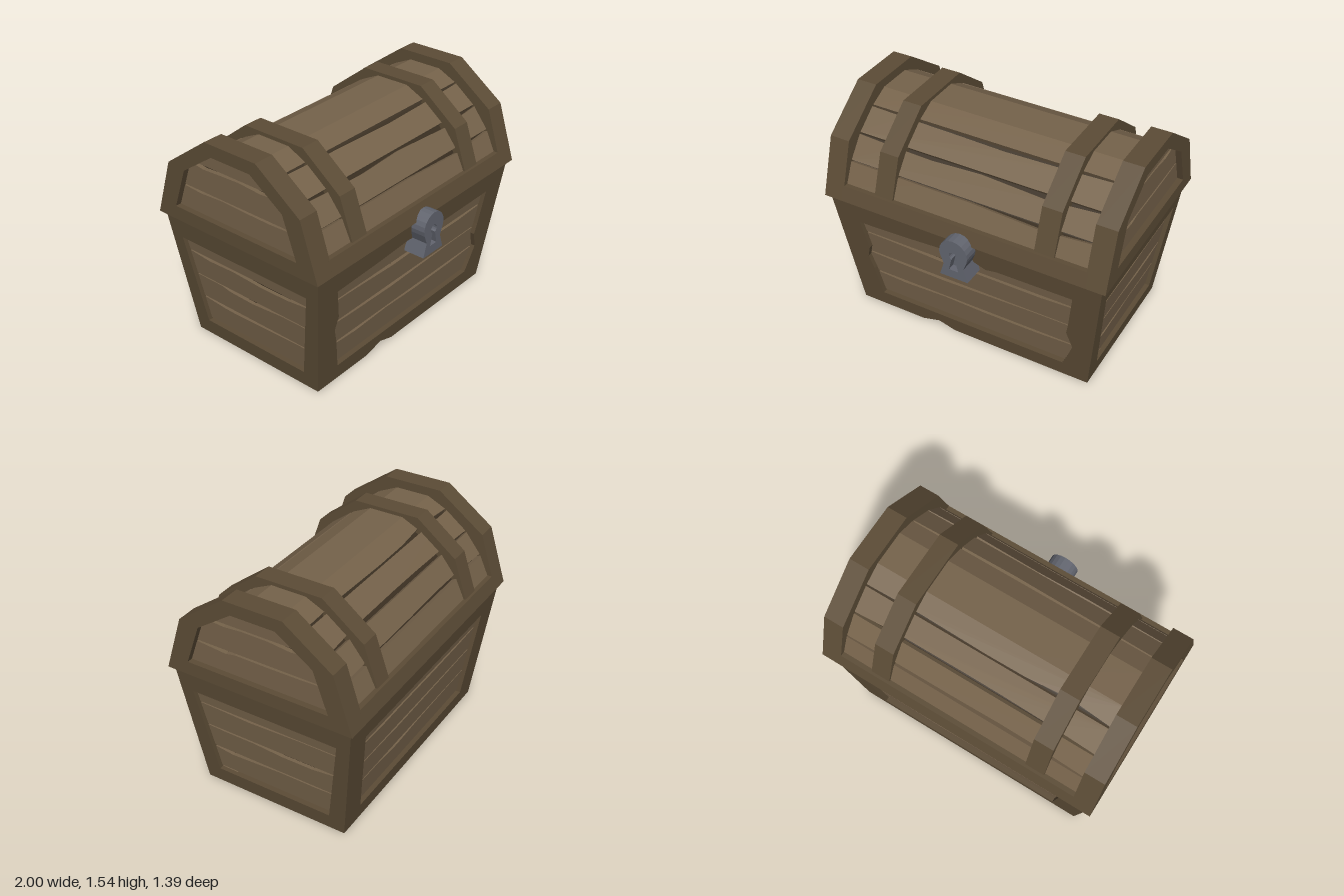
import * as THREE from 'three';

const mat = (color) => new THREE.MeshStandardMaterial({ color, flatShading: true });
const frameMat = mat(0x5c4c36), plankMat = mat(0x75624a), gapMat = mat(0x3a2f21), ironMat = mat(0x62656f);

let seed = 7;
const rand = () => (seed = (seed * 16807) % 2147483647) / 2147483647;
const V = (x, y, z) => new THREE.Vector3(x, y, z);
const toPts = (list) => list.map(([x, y]) => new THREE.Vector2(x, y));
// Full symmetric outline from its right half, listed bottom to top
const mirror = (half) => [...half, ...half.map(([x, y]) => [-x, y]).reverse()];

// Flat outline with optional hole, extruded from z0 to z1
function plate(name, outline, z0, z1, material, hole) {
  const shape = new THREE.Shape(toPts(outline));
  if (hole) shape.holes.push(new THREE.Path(toPts(hole)));
  const geo = new THREE.ExtrudeGeometry(shape, { depth: z1 - z0, bevelEnabled: false });
  geo.translate(0, 0, z0);
  const mesh = new THREE.Mesh(geo, material);
  mesh.name = name;
  return mesh;
}

// Board outline with a worn, uneven upper edge
function board(w0, w1, y0, y1, wear) {
  const pts = [[-w0, y0], [w0, y0], [w1, y1]];
  for (const t of [0.55, 0.1, -0.3, -0.6]) {
    pts.push([w1 * (t + 0.2 * (rand() - 0.5)), y1 - wear * rand()]);
  }
  pts.push([-w1, y1]);
  return pts;
}

const H = 0.915;
const body = { x0: 0.86, x1: 0.97, z0: 0.5225, z1: 0.635 };

// One leaning wall: frame around an opening, with boards set back inside it
function wall(name, angle, w0, w1, d0, d1, hole, outline) {
  const g = new THREE.Group();
  g.name = name;
  g.rotation.y = angle;
  const slope = (d1 - d0) / H;
  const lean = new THREE.Matrix4().makeBasis(V(1, 0, 0), V(0, 1, slope), V(0, 0, 1)).setPosition(0, 0, d0);
  g.add(plate(name + 'Frame', outline || mirror([[w0, 0], [w1, H]]), -0.09, 0, frameMat, hole));
  const seams = [0.07, 0.12, 0.295, 0.47, 0.65, 0.82];
  const width = (y) => w0 + (w1 - w0) * y / H - 0.09;
  for (let i = 0; i < seams.length - 1; i++) {
    const a = seams[i], b = seams[i + 1] - 0.008;
    g.add(plate(name + 'Board', board(width(a), width(b), a, b, 0.026), -0.07, -0.03, plankMat));
  }
  g.children.forEach((m) => m.geometry.applyMatrix4(lean));
  return g;
}

function createBody() {
  const g = new THREE.Group();
  g.name = 'body';
  const { x0, x1, z0, z1 } = body;
  // Chipped opening and edges on the front
  const chippedHole = [[-0.69, 0.11], [0.685, 0.11], [0.72, 0.19], [0.76, 0.3], [0.72, 0.42], [0.735, 0.5], [0.77, 0.75],
    [0.25, 0.745], [0.17, 0.73], [0.08, 0.765], [-0.1, 0.78], [-0.4, 0.76], [-0.775, 0.745],
    [-0.755, 0.64], [-0.735, 0.53], [-0.76, 0.44], [-0.73, 0.33]];
  const chippedEdge = [[-x0, 0], [-0.38, 0], [-0.25, 0.04], [-0.13, 0], [x0, 0], [x1, H], [0.35, H], [0.2, 0.89],
    [0.1, H], [-0.15, H], [-0.35, 0.905], [-0.55, 0.9], [-0.7, H], [-x1, H]];
  g.add(wall('front', 0, x0, x1, z0, z1, chippedHole, chippedEdge));
  g.add(wall('back', Math.PI, x0, x1, z0, z1, mirror([[0.69, 0.11], [0.77, 0.75]])));
  for (const s of [1, -1]) {
    g.add(wall(s > 0 ? 'leftSide' : 'rightSide', s * Math.PI / 2, z0, z1, x0, x1, mirror([[0.42, 0.11], [0.5225, 0.75]])));
  }
  // Tapered dark core: floor and the shadow behind the boards
  const geo = new THREE.BoxGeometry(2, H - 0.01, 2).translate(0, H / 2, 0);
  const p = geo.attributes.position;
  for (let i = 0; i < p.count; i++) {
    const t = p.getY(i) / H;
    p.setX(i, p.getX(i) * (x0 + (x1 - x0) * t - 0.055));
    p.setZ(i, p.getZ(i) * (z0 + (z1 - z0) * t - 0.055));
  }
  const core = new THREE.Mesh(geo, gapMat);
  core.name = 'bodyCore';
  g.add(core);
  return g;
}

function createLid() {
  const g = new THREE.Group();
  g.name = 'lid';
  const ringHalf = [[0.66, 0.915], [0.535, 1.305], [0.205, 1.545]];
  const holeHalf = [[0.5, 1.01], [0.4, 1.29], [0.155, 1.46]];
  const strapHalf = [[0.615, 1.0], [0.515, 1.29], [0.232, 1.51]];
  const arcHalf = [[0.612, 0.98], [0.53, 1.155], [0.415, 1.3], [0.258, 1.42], [0.12, 1.485]];

  // Parts whose profile runs along the length of the chest
  const across = new THREE.Group();
  across.name = 'lidProfiles';
  across.rotation.y = Math.PI / 2;
  g.add(across);
  const coreHalf = arcHalf.map(([z, y]) => [z - 0.025, y - 0.022]);
  across.add(plate('lidCore', mirror(coreHalf), -0.93, 0.93, gapMat));
  across.add(plate('lidRim', mirror([[0.66, 0.915], [0.628, 1.015]]), -0.87, 0.87, frameMat));
  for (const s of [1, -1]) {
    across.add(plate('strap', mirror(strapHalf), s * 0.57 - 0.067, s * 0.57 + 0.067, frameMat));
    // End cap: heavy frame with boards inside
    const end = new THREE.Group();
    end.name = s > 0 ? 'lidLeftEnd' : 'lidRightEnd';
    end.rotation.y = s * Math.PI / 2;
    end.add(plate('endFrame', mirror(ringHalf), 0.86, 1, frameMat, mirror(holeHalf)));
    end.add(plate('endBoard', board(0.54, 0.47, 0.98, 1.162, 0.02), 0.92, 0.96, plankMat));
    end.add(plate('endBoard', board(0.47, 0.4, 1.17, 1.345, 0.025), 0.92, 0.96, plankMat));
    end.add(plate('endBoard', board(0.37, 0.19, 1.355, 1.48, 0), 0.92, 0.96, plankMat));
    g.add(end);
  }

  // Curved top boards, walked from front to back
  const arc = mirror(arcHalf);
  for (let i = 0; i < arc.length - 1; i++) {
    const [za, ya] = arc[i], [zb, yb] = arc[i + 1];
    const len = Math.hypot(zb - za, yb - ya);
    const v = V(0, (yb - ya) / len, (zb - za) / len);
    const top = i >= 3 && i <= 5;
    const start = top && i > 3 ? 0 : 0.006, stop = top && i < 5 ? len : len - 0.006;
    const m = plate('lidBoard', board(0.88, 0.88, start, stop, top && i < 5 ? 0 : 0.028), -0.035, 0, plankMat);
    m.geometry.applyMatrix4(new THREE.Matrix4()
      .makeBasis(V(1, 0, 0), v, V(0, -v.z, v.y)).setPosition(0, ya, za));
    g.add(m);
  }
  return g;
}

function createLock() {
  // Round-headed plate with flared foot and a keyhole
  const head = [], key = [];
  for (let i = 0; i <= 12; i++) {
    const a = -0.35 + (Math.PI + 0.7) * i / 12;
    head.push([0.1 * Math.cos(a), 0.875 + 0.1 * Math.sin(a)]);
    const k = -1.1 + (Math.PI + 2.2) * i / 12;
    key.push([0.03 * Math.cos(k), 0.855 + 0.03 * Math.sin(k)]);
  }
  const outline = [[-0.07, 0.78], [-0.1, 0.685], [0.1, 0.685], [0.07, 0.78], ...head];
  const keyhole = [[-0.033, 0.745], [0.033, 0.745], ...key];
  const g = new THREE.Group();
  g.name = 'lock';
  g.add(plate('lockPlate', outline, 0.64, 0.73, ironMat, keyhole));
  g.add(plate('lockBacking', outline, 0.58, 0.68, ironMat));
  g.position.x = 0.01;
  return g;
}

export function createModel() {
  const chest = new THREE.Group();
  chest.name = 'chest';
  chest.add(createBody(), createLid(), createLock());
  chest.position.z = -0.03;
  const model = new THREE.Group();
  model.name = 'treasureChest';
  model.add(chest);
  return model;
}
